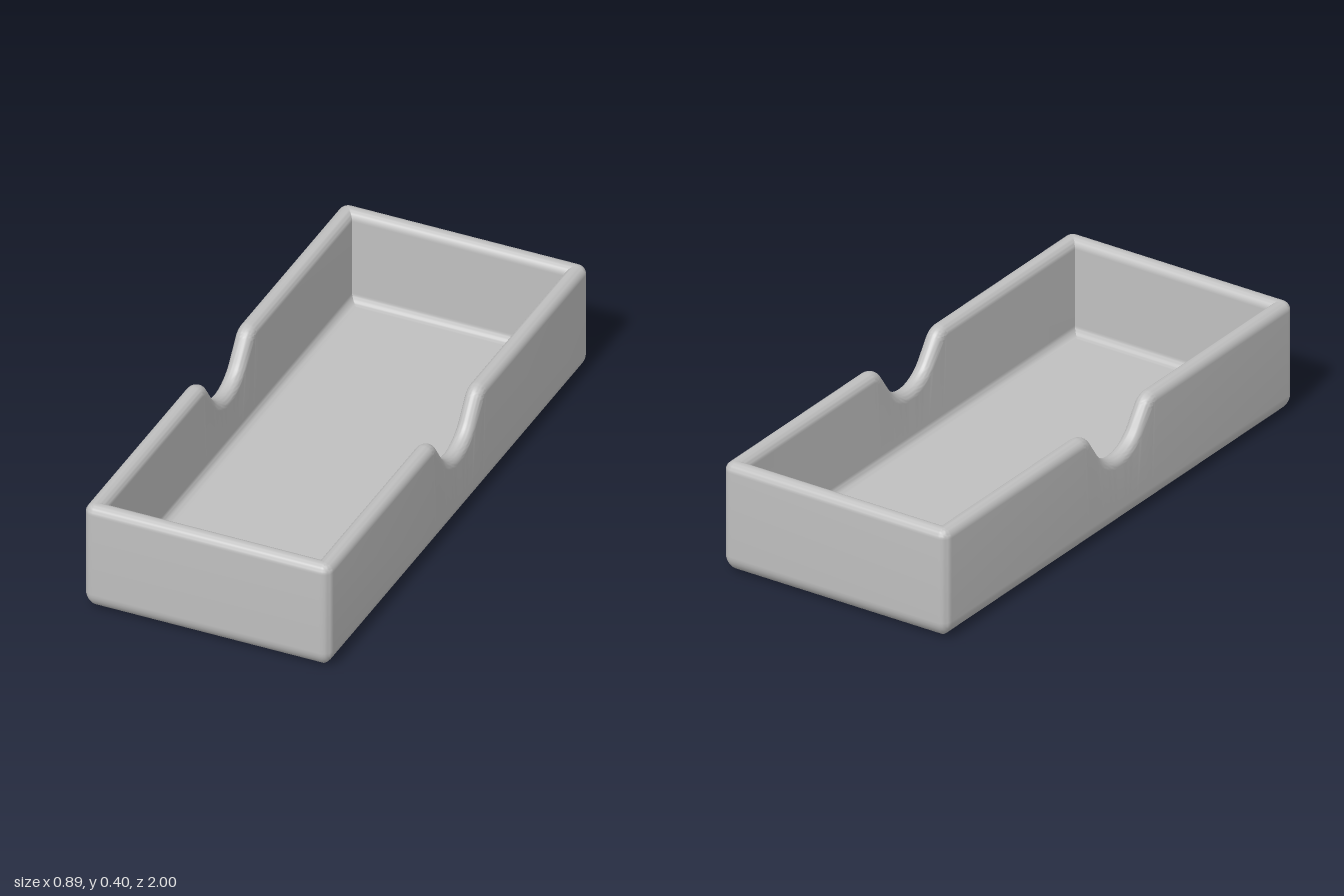
import * as THREE from 'three';
import { toCreasedNormals } from 'three/addons/utils/BufferGeometryUtils.js';

const X = 0.443, Z = 1, H = 0.4;           // half width, half length, height
const CORNER = 0.035, RIM = 0.031;         // upright corner and rim radii
const BASE = 0.063, FLOOR = 0.06, COVE = 0.03; // bottom rounding, floor height, inner rounding
const PAD = 0.004;                         // narrow band keeping flat faces flat

// Half of the finger notch: bowl, straight slope, rounded shoulder
function notchHalf() {
  const R = 0.135, S = 0.07, phi = THREE.MathUtils.degToRad(55), n = 10, pts = [];
  for (let i = 0; i <= n; i++) {
    const a = phi * i / n;
    pts.push({ z: R * Math.sin(a), h: 0.25 + R * (1 - Math.cos(a)), nz: -Math.sin(a), ny: Math.cos(a) });
  }
  const end = pts[n];
  const top = H - S * (1 - Math.cos(phi));
  const zs = end.z + (top - end.h) / Math.tan(phi) + S * Math.sin(phi);
  for (let i = n; i >= 0; i--) {
    const a = phi * i / n;
    pts.push({ z: zs - S * Math.sin(a), h: H - S * (1 - Math.cos(a)), nz: -Math.sin(a), ny: Math.cos(a) });
  }
  pts.push({ z: zs + 0.01, h: H, nz: 0, ny: 1 });
  return pts;
}

// Outline stations around the tray: corner arcs and notched long sides
function outline() {
  const list = [], seg = 6;
  const corner = (k) => {
    for (let i = -1; i <= seg + 1; i++) {
      const a = (k + THREE.MathUtils.clamp(i / seg, 0, 1)) * Math.PI / 2;
      const pad = i < 0 ? -PAD : i > seg ? PAD : 0;
      list.push({
        corner: true, sx: k === 0 || k === 3 ? 1 : -1, sz: k < 2 ? 1 : -1,
        dx: Math.cos(a), dz: Math.sin(a), pad, h: H, nz: 0, ny: 1,
      });
    }
  };
  const half = notchHalf();
  const mirrored = half.slice(1).map((p) => ({ ...p, z: -p.z, nz: -p.nz }));
  const side = [...mirrored.reverse(), ...half];   // from -z to +z
  corner(0);
  corner(1);
  [...side].reverse().forEach((p) => list.push({ ...p, sx: -1 }));
  corner(2);
  corner(3);
  side.forEach((p) => list.push({ ...p, sx: 1 }));
  return list;
}

// Wall section from under the base, over the rim, to the middle of the floor.
// d = inset from the outside; y = height, or drop = depth below the rim line
function section() {
  const rows = [{ d: X, y: 0 }, { d: BASE + PAD, y: 0 }], n = 8;
  for (let i = 0; i <= n; i++) {
    const t = Math.PI / 2 * i / n;
    rows.push({ d: BASE * (1 - Math.sin(t)), y: BASE * (1 - Math.cos(t)) });
  }
  rows.push({ d: 0, y: BASE + PAD }, { d: 0, drop: RIM + PAD });
  for (let i = 0; i <= 2 * n; i++) {
    const t = Math.PI / 2 * i / n;
    rows.push({ d: RIM * (1 - Math.cos(t)), drop: RIM * (1 - Math.sin(t)) });
  }
  const T = 2 * RIM;
  rows.push({ d: T, drop: RIM + PAD }, { d: T, y: FLOOR + COVE + PAD });
  for (let i = 0; i <= n; i++) {
    const t = Math.PI / 2 * i / n;
    rows.push({ d: T + COVE * (1 - Math.cos(t)), y: FLOOR + COVE * (1 - Math.sin(t)) });
  }
  rows.push({ d: T + COVE + PAD, y: FLOOR }, { d: X, y: FLOOR });
  return rows;
}

function place(s, { d, y, drop }) {
  let x = s.sx * (X - d), z = s.z;
  if (s.corner) {
    const r = Math.max(CORNER - d, 0), inset = Math.max(CORNER, d);
    const pad = d < X ? s.pad : 0;
    x = s.sx * (X - inset) + s.dx * r - s.dz * pad;
    z = s.sz * (Z - inset) + s.dz * r + s.dx * pad;
  }
  if (drop === undefined) return new THREE.Vector3(x, y, z);
  return new THREE.Vector3(x, s.h - s.ny * drop, z - s.nz * drop);
}

function trayGeometry() {
  const stations = outline(), rows = section();
  const grid = rows.map((row) => stations.map((s) => place(s, row)));
  const pos = [], tri = new THREE.Triangle();
  const add = (a, b, c) => {
    tri.set(a, b, c);
    if (tri.getArea() > 1e-10) pos.push(...a.toArray(), ...b.toArray(), ...c.toArray());
  };
  for (let i = 0; i < rows.length - 1; i++) {
    for (let j = 0; j < stations.length; j++) {
      const k = (j + 1) % stations.length;
      const a = grid[i][j], b = grid[i + 1][j], c = grid[i + 1][k], e = grid[i][k];
      add(a, b, c);
      add(a, c, e);
    }
  }
  const geo = new THREE.BufferGeometry();
  geo.setAttribute('position', new THREE.Float32BufferAttribute(pos, 3));
  return toCreasedNormals(geo, THREE.MathUtils.degToRad(35));
}

export function createModel() {
  const group = new THREE.Group();
  group.name = 'notchedTray';
  const grey = new THREE.MeshStandardMaterial({ color: 0xbfbfbf });
  grey.name = 'grey';
  const tray = new THREE.Mesh(trayGeometry(), grey);
  tray.name = 'tray';
  group.add(tray);
  return group;
}
